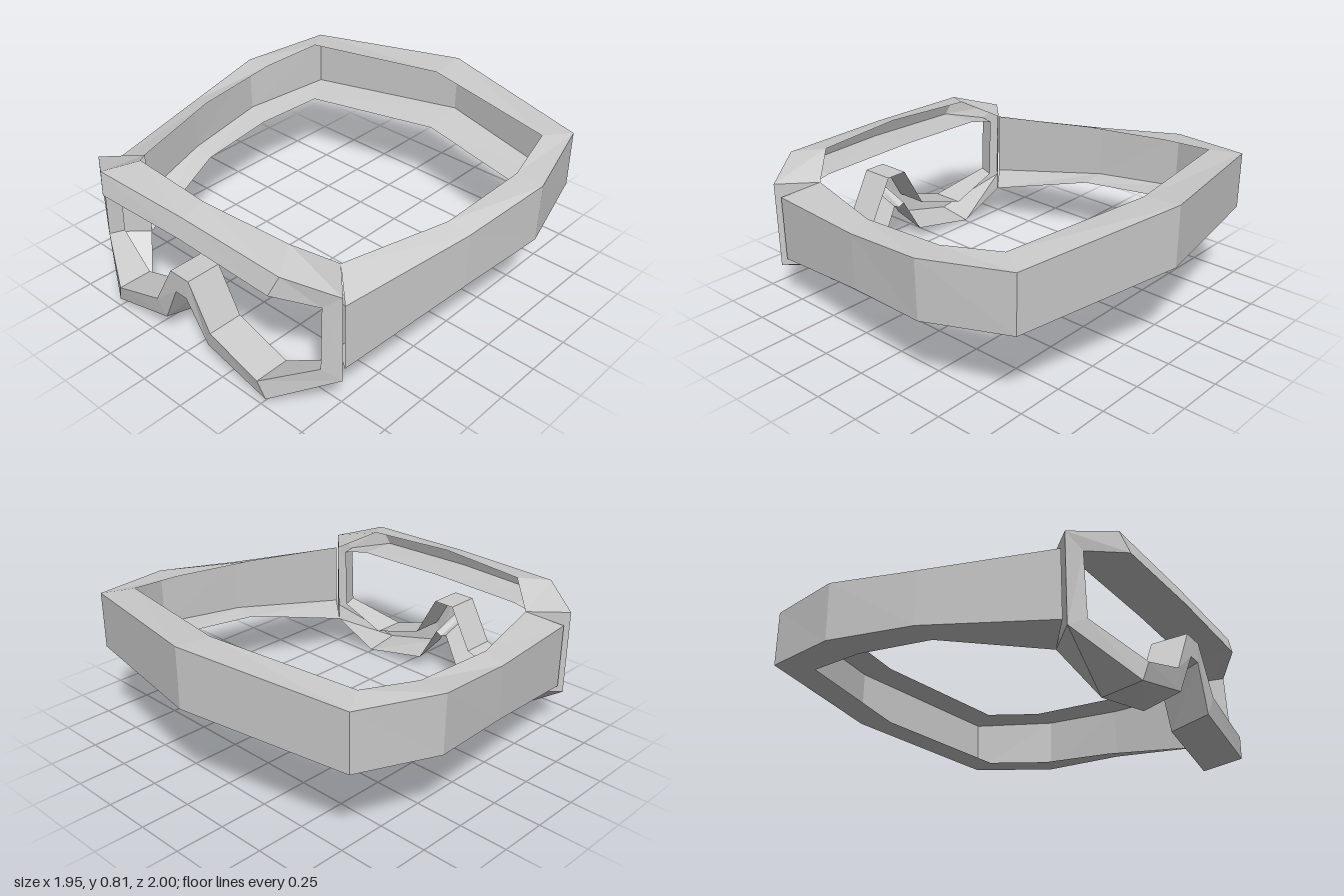
import * as THREE from 'three';

const material = new THREE.MeshStandardMaterial({
  color: 0xcccccc, flatShading: true, side: THREE.DoubleSide,
});

// Appends the mirror image of a half run of sections (those off the centre plane)
function mirrored(half) {
  const other = half
    .filter((section) => section.some((p) => p[0] !== 0))
    .map((section) => section.map(([x, y, z]) => [-x, y, z]))
    .reverse();
  return [...half, ...other];
}

// Skins a run of open cross-sections into a folded channel
function channel(name, sections, closed) {
  const n = sections[0].length;
  const index = [];
  const runs = closed ? sections.length : sections.length - 1;
  for (let i = 0; i < runs; i++) {
    const a = i * n, b = ((i + 1) % sections.length) * n;
    for (let j = 0; j < n - 1; j++) {
      index.push(a + j, a + j + 1, b + j + 1, a + j, b + j + 1, b + j);
    }
  }
  const indexed = new THREE.BufferGeometry();
  indexed.setAttribute('position', new THREE.Float32BufferAttribute(sections.flat(2), 3));
  indexed.setIndex(index);
  const geometry = indexed.toNonIndexed();
  geometry.computeVertexNormals();
  const mesh = new THREE.Mesh(geometry, material);
  mesh.name = name;
  return mesh;
}

export function createModel() {
  const group = new THREE.Group();
  group.name = 'goggles';

  // Lens frame sections: back outer, front outer, front inner, back inner
  const frameHalf = [
    [[0, 0.755, 0.83], [0, 0.725, 0.95], [0, 0.63, 0.98], [0, 0.64, 0.74]],            // brow centre
    [[0.49, 0.745, 0.79], [0.59, 0.715, 0.95], [0.55, 0.615, 0.98], [0.52, 0.63, 0.74]], // brow end
    [[0.65, 0.65, 0.65], [0.81, 0.645, 0.81], [0.73, 0.575, 0.85], [0.71, 0.575, 0.77]], // upper corner
    [[0.65, 0.2, 0.66], [0.81, 0.2, 0.81], [0.73, 0.25, 0.86], [0.71, 0.24, 0.78]],      // lower corner
    [[0.51, 0.0, 0.79], [0.515, 0.025, 0.985], [0.48, 0.12, 1], [0.48, 0.12, 0.82]],     // cheek
    [[0.14, 0.075, 0.8], [0.145, 0.12, 0.985], [0.185, 0.215, 1], [0.185, 0.215, 0.82]], // nose side
    [[0.035, 0.265, 0.81], [0.035, 0.335, 1], [0.06, 0.44, 1], [0.06, 0.44, 0.82]],      // nose bridge
    [[0, 0.25, 0.81], [0, 0.335, 1], [0, 0.44, 1], [0, 0.44, 0.82]],                     // bridge centre
  ];
  group.add(channel('lensFrame', mirrored(frameHalf), true));

  // Strap sections: inner top, outer top, outer bottom, inner bottom
  const strapHalf = [
    [[0.65, 0.65, 0.65], [0.795, 0.578, 0.78], [0.795, 0.24, 0.78], [0.65, 0.2, 0.66]],
    [[0.805, 0.67, 0.12], [0.915, 0.64, 0.11], [0.915, 0.362, 0.11], [0.8, 0.34, 0.12]],
    [[0.83, 0.71, -0.36], [0.975, 0.703, -0.36], [0.97, 0.403, -0.36], [0.815, 0.385, -0.3]],
    [[0.76, 0.755, -0.67], [0.85, 0.745, -0.81], [0.85, 0.455, -0.81], [0.74, 0.43, -0.64]],
    [[0, 0.79, -0.81], [0, 0.805, -1], [0, 0.5, -1], [0, 0.46, -0.79]],
  ];
  group.add(channel('headStrap', mirrored(strapHalf), false));

  return group;
}
